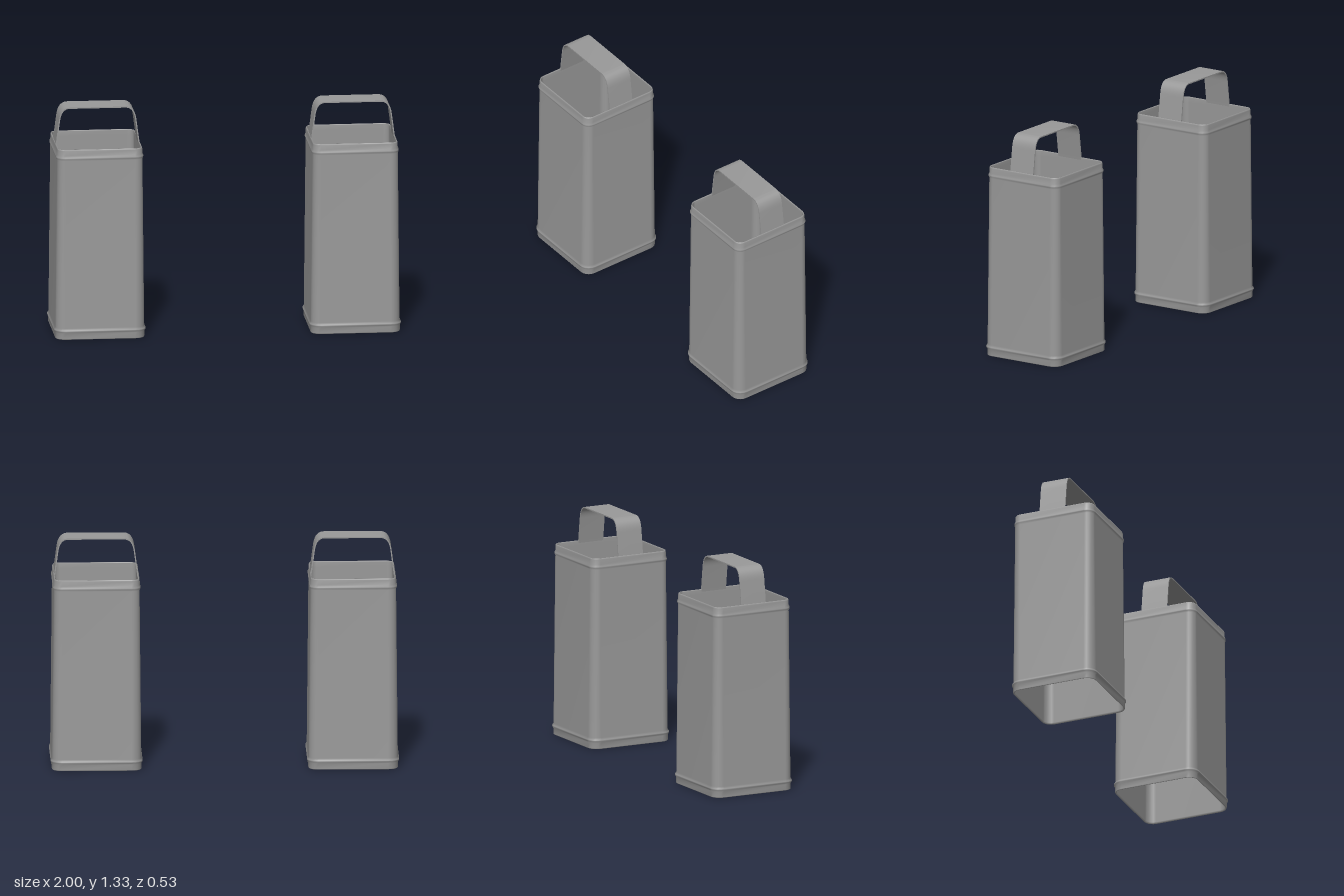
import * as THREE from 'three';
import { toCreasedNormals } from 'three/addons/utils/BufferGeometryUtils.js';

const material = new THREE.MeshStandardMaterial({ color: 0x999999, side: THREE.DoubleSide });

// Rounded-square ring for a given half width; corner centres stay fixed
function ring(half) {
  const c = 0.2, r = half - c, steps = 5, pts = [];
  const corners = [[1, 1], [-1, 1], [-1, -1], [1, -1]];
  corners.forEach(([sx, sz], k) => {
    for (let i = 0; i <= steps; i++) {
      const a = (k + i / steps) * Math.PI / 2;
      pts.push([sx * c + r * Math.cos(a), sz * c + r * Math.sin(a)]);
    }
  });
  return pts;
}

// Open tapered sleeve: a closed wall section [half width, y] swept round the ring.
// Area-weighted normals keep the tall walls evenly shaded and the beads soft.
function sleeveGeometry() {
  const profile = [
    [0.254, 0], [0.257, 0.004], [0.257, 0.036],
    [0.2635, 0.046], [0.2635, 0.054], [0.256, 0.066],
    [0.246, 1.05], [0.251, 1.06], [0.251, 1.068], [0.2455, 1.08],
    [0.245, 1.108], [0.242, 1.115], [0.238, 1.115], [0.236, 1.11], [0.237, 1.08], [0.248, 0.01],
  ];
  const pos = [], idx = [];
  const n = ring(0.25).length, m = profile.length;
  for (const [half, y] of profile) for (const [x, z] of ring(half)) pos.push(x, y, z);
  for (let j = 0; j < m; j++) {
    for (let i = 0; i < n; i++) {
      const a = j * n + i, b = j * n + (i + 1) % n;
      const d = ((j + 1) % m) * n + i, e = ((j + 1) % m) * n + (i + 1) % n;
      idx.push(a, d, b, b, d, e);
    }
  }
  const g = new THREE.BufferGeometry();
  g.setAttribute('position', new THREE.Float32BufferAttribute(pos, 3));
  g.setIndex(idx);
  g.computeVertexNormals();
  return g;
}

// Points of the bent strap, inset by t from its outer face
function strapPoints(t) {
  const top = 1.325 - t, path = new THREE.Path();
  path.moveTo(0.243 - t, 1.1);
  path.lineTo(0.223 - t, 1.25);
  path.bezierCurveTo(0.216 - t, 1.3, 0.195 - t, top, 0.16, top);
  path.lineTo(-0.16, top);
  path.bezierCurveTo(t - 0.195, top, t - 0.216, 1.3, t - 0.223, 1.25);
  path.lineTo(t - 0.243, 1.1);
  return path.getPoints(10);
}

function handleGeometry() {
  const shape = new THREE.Shape([...strapPoints(0), ...strapPoints(0.007).reverse()]);
  const g = new THREE.ExtrudeGeometry(shape, { depth: 0.16, bevelEnabled: false });
  g.translate(0, 0, -0.08);
  return toCreasedNormals(g, 0.6);
}

export function createModel() {
  const model = new THREE.Group();
  model.name = 'pairOfHandledSleeves';
  const sleeve = sleeveGeometry(), handle = handleGeometry();
  for (const side of [-1, 1]) {
    const unit = new THREE.Group();
    unit.name = side > 0 ? 'leftContainer' : 'rightContainer';
    for (const [name, geometry] of [['sleeve', sleeve], ['handle', handle]]) {
      const mesh = new THREE.Mesh(geometry, material);
      mesh.name = name;
      unit.add(mesh);
    }
    unit.position.x = side * 0.735;
    model.add(unit);
  }
  return model;
}
